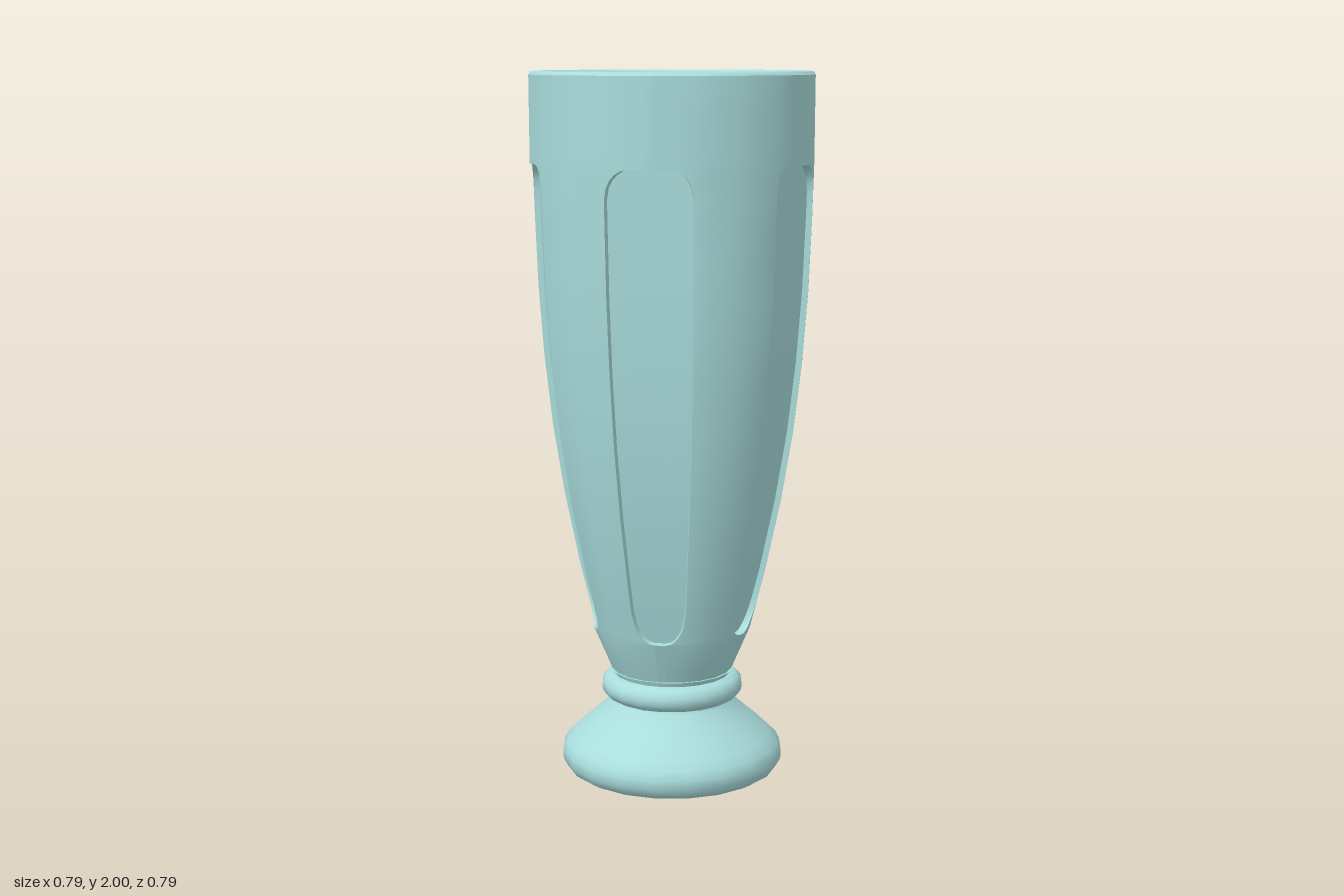
import * as THREE from 'three';
import { toCreasedNormals } from 'three/addons/utils/BufferGeometryUtils.js';

const DEG = Math.PI / 180;
const SIDES = 20, STEP = 360 / SIDES;
const FLUTES = 5, HALF = 17.8;
const FLUTE_LOW = 0.425, FLUTE_HIGH = 1.75;

// [height, radius] profiles of the bowl
const OUTER = [[0.28, 0.165], [0.34, 0.19], [0.425, 0.226], [0.6, 0.27], [0.8, 0.312], [1, 0.345],
  [1.2, 0.368], [1.4, 0.383], [1.6, 0.391], [1.75, 0.395], [2, 0.396]];
const INNER = [[0.3, 0.175], [0.4, 0.195], [0.6, 0.232], [0.8, 0.27], [1, 0.3], [1.2, 0.324],
  [1.4, 0.341], [1.6, 0.351], [1.75, 0.355], [2, 0.356]];

function radiusAt(profile, y) {
  let i = 1;
  while (i < profile.length - 1 && profile[i][0] < y) i++;
  const [y0, r0] = profile[i - 1], [y1, r1] = profile[i];
  return r0 + (r1 - r0) * (y - y0) / (y1 - y0);
}

// Distance to a regular polygon's edge at an angle in degrees
function polygon(r, deg) {
  const a = ((deg % STEP) + STEP) % STEP - STEP / 2;
  return r * Math.cos(STEP / 2 * DEG) / Math.cos(a * DEG);
}

const polar = (r, deg, y) => [r * Math.sin(deg * DEG), y, r * Math.cos(deg * DEG)];

// Skin a grid of points (rows upwards, columns counterclockwise from above)
function skin(rows, inward, crease) {
  const pos = [];
  const tri = (a, b, c) => {
    const [p, q, r] = [a, b, c].map((v) => new THREE.Vector3(...v));
    if (q.sub(p).cross(r.sub(p)).length() < 1e-8) return;
    pos.push(...a, ...(inward ? c : b), ...(inward ? b : c));
  };
  for (let j = 0; j < rows.length - 1; j++) {
    for (let i = 0; i < rows[j].length - 1; i++) {
      const a = rows[j][i], b = rows[j][i + 1], c = rows[j + 1][i + 1], d = rows[j + 1][i];
      tri(a, b, c);
      tri(a, c, d);
    }
  }
  const geo = new THREE.BufferGeometry();
  geo.setAttribute('position', new THREE.Float32BufferAttribute(pos, 3));
  return toCreasedNormals(geo, crease);
}

// Half angle of a flute, narrowing round its two ends
function fluteHalf(y) {
  const corner = (e, h, cut) => {
    const t = 1 - Math.min(Math.max(e / h, 0), 1);
    return 1 - cut * (1 - Math.sqrt(1 - t * t));
  };
  return HALF * corner(y - FLUTE_LOW, 0.09, 0.75) * corner(FLUTE_HIGH - y, 0.08, 0.55);
}

function outerRow(y, recessed) {
  const R = radiusAt(OUTER, y), w = fluteHalf(y), row = [];
  const floor = R * Math.cos(18 * DEG) - 0.016;
  for (let k = 0; k < FLUTES; k++) {
    const mid = k * 360 / FLUTES;
    const wall = (a) => row.push(polar(polygon(R, mid + a), mid + a, y));
    wall(-w);
    for (const s of [-1, -0.5, 0, 0.5, 1]) {
      const a = s * w;
      if (recessed) row.push(polar(floor / Math.cos(a * DEG), mid + a, y));
      else wall(a);
    }
    [w, 18, 36, 54].forEach(wall);
  }
  row.push(polar(polygon(R, -w), -w, y));
  return row;
}

function innerRow(y, flat, drop = 0) {
  const R = radiusAt(INNER, y), row = [];
  for (let i = 0; i <= SIDES; i++) {
    const onPanel = flat && i % 4 === 0;
    row.push(polar(onPanel ? R * Math.cos(18 * DEG) - drop : R, i * STEP, y));
  }
  return row;
}

// Inner wall with ledges behind the flutes' lower ends
function ledgeRow(y, drop) {
  return innerRow(y, true).map(([x, h, z], i) => {
    if (i % 4 === 2) return [x, h, z];
    const k = 1 - drop / Math.hypot(x, z);
    return [x * k, h, z * k];
  });
}

export function createModel() {
  const group = new THREE.Group();
  const material = new THREE.MeshStandardMaterial({ color: 0xaadddd });
  const add = (name, geo) => {
    const mesh = new THREE.Mesh(geo, material);
    mesh.name = name;
    group.add(mesh);
  };

  // Outer wall with five recessed flutes
  const low = [0.28, 0.34, FLUTE_LOW].map((y) => outerRow(y, false));
  const flute = [0.425, 0.429, 0.438, 0.452, 0.475, 0.515, 0.6, 0.7, 0.8, 0.9, 1, 1.1, 1.2, 1.3, 1.4, 1.5,
    1.6, 1.67, 1.7, 1.72, 1.735, 1.746, 1.75].map((y) => outerRow(y, true));
  const high = [FLUTE_HIGH, 1.8, 1.9, 1.99].map((y) => outerRow(y, false));
  add('flutedOuterWall', skin([...low, ...flute, ...high], false, 0.6));

  // Inner wall, flattened behind each flute
  const inside = [
    ledgeRow(0.3, 0), ledgeRow(0.4, 0.006), ledgeRow(0.58, 0.02), innerRow(0.6, true),
    ...[0.8, 1, 1.2, 1.4, 1.6, 1.72].map((y) => innerRow(y, true)),
    ...[1.75, 1.99].map((y) => innerRow(y, false)),
  ];
  add('innerWall', skin(inside, true, 0.4));

  // Lathed parts share the same number of sides
  const lathe = (name, points) => {
    const geo = new THREE.LatheGeometry(points.map((p) => new THREE.Vector2(...p)), SIDES);
    add(name, toCreasedNormals(geo, 0.9));
  };
  lathe('rim', [[0.396, 1.99], [0.392, 1.998], [0.385, 2], [0.367, 2], [0.36, 1.998], [0.356, 1.99]]);
  lathe('bowlFloor', [[0.18, 0.302], [0, 0.302]]);
  lathe('foot', [[0, 0], [0.285, 0], [0.305, 0.012], [0.318, 0.035], [0.319, 0.062], [0.308, 0.085],
    [0.285, 0.108], [0.225, 0.16], [0.175, 0.205], [0.165, 0.22], [0.163, 0.285]]);

  // Bead between the foot and the bowl
  const bead = [];
  for (let i = 0; i <= 10; i++) {
    const a = (i / 10 - 0.5) * Math.PI;
    bead.push([0.168 + 0.036 * Math.cos(a), 0.251 + 0.036 * Math.sin(a)]);
  }
  lathe('neckBead', [[0.15, 0.215], ...bead, [0.15, 0.287]]);

  return group;
}
